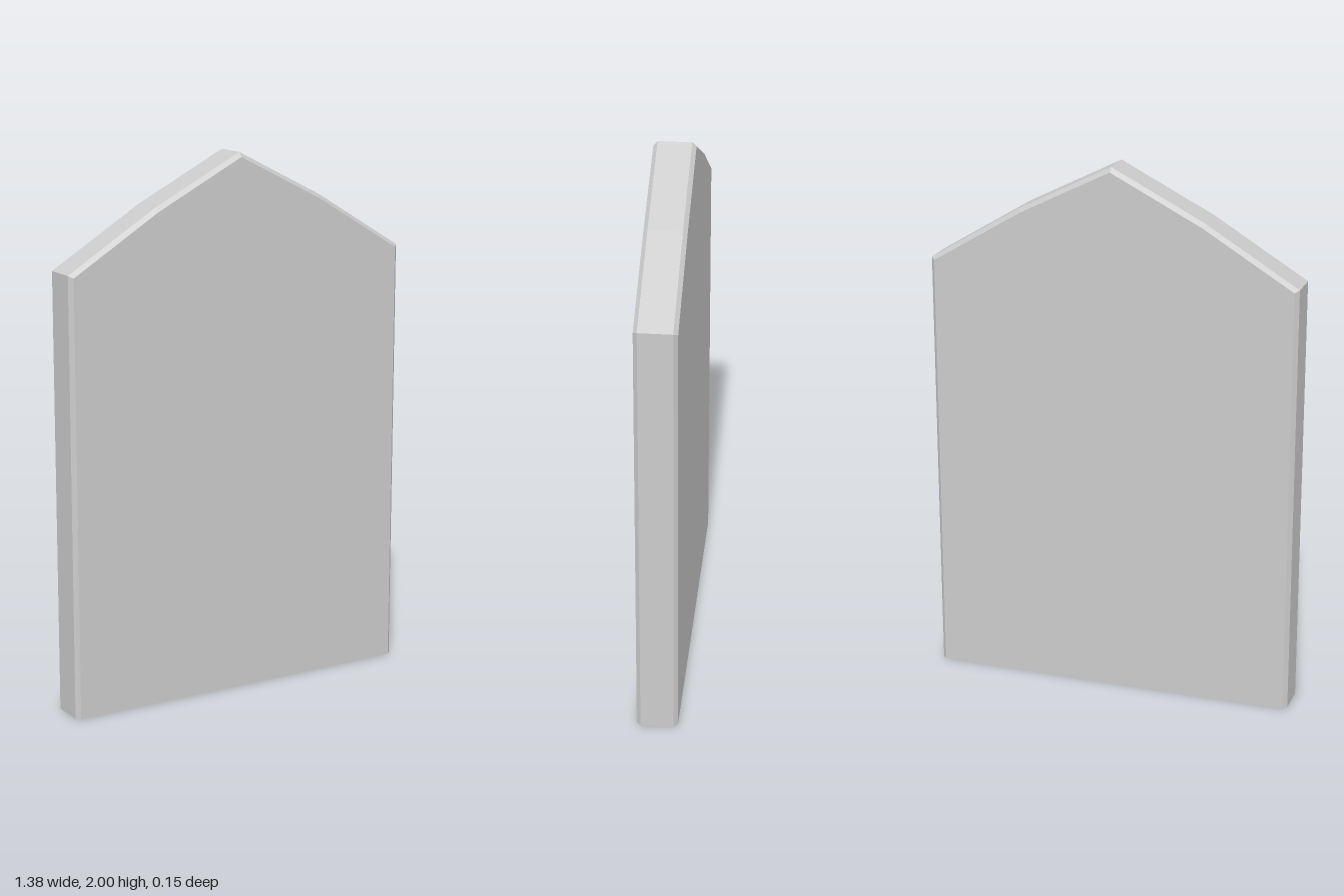
import * as THREE from 'three';

export function createModel() {
  const group = new THREE.Group();
  const chamfer = 0.015;
  const coreDepth = 0.12;

  // Upright slab outline with a slightly bowed, pointed top
  const right = [[0.69, 0], [0.69, 1.615], [0.345, 1.825]];
  const left = right.map(([x, y]) => [-x, y]).reverse();
  const outline = [...right, [0, 2], ...left].map(([x, y]) => new THREE.Vector2(x, y));

  // Chamfered rims on front and back
  const geometry = new THREE.ExtrudeGeometry(new THREE.Shape(outline), {
    depth: coreDepth,
    bevelEnabled: true,
    bevelSegments: 1,
    bevelThickness: chamfer,
    bevelSize: chamfer,
    bevelOffset: -chamfer,
  });
  geometry.translate(0, 0, -coreDepth / 2);

  // The base has no chamfer: press its rim flat onto the ground
  const pos = geometry.attributes.position;
  for (let i = 0; i < pos.count; i++) {
    if (pos.getY(i) < chamfer * 2) pos.setY(i, 0);
  }
  geometry.computeVertexNormals();

  const slab = new THREE.Mesh(
    geometry,
    new THREE.MeshStandardMaterial({ color: 0xcccccc, flatShading: true })
  );
  slab.name = 'pointedSlab';
  group.add(slab);
  return group;
}
